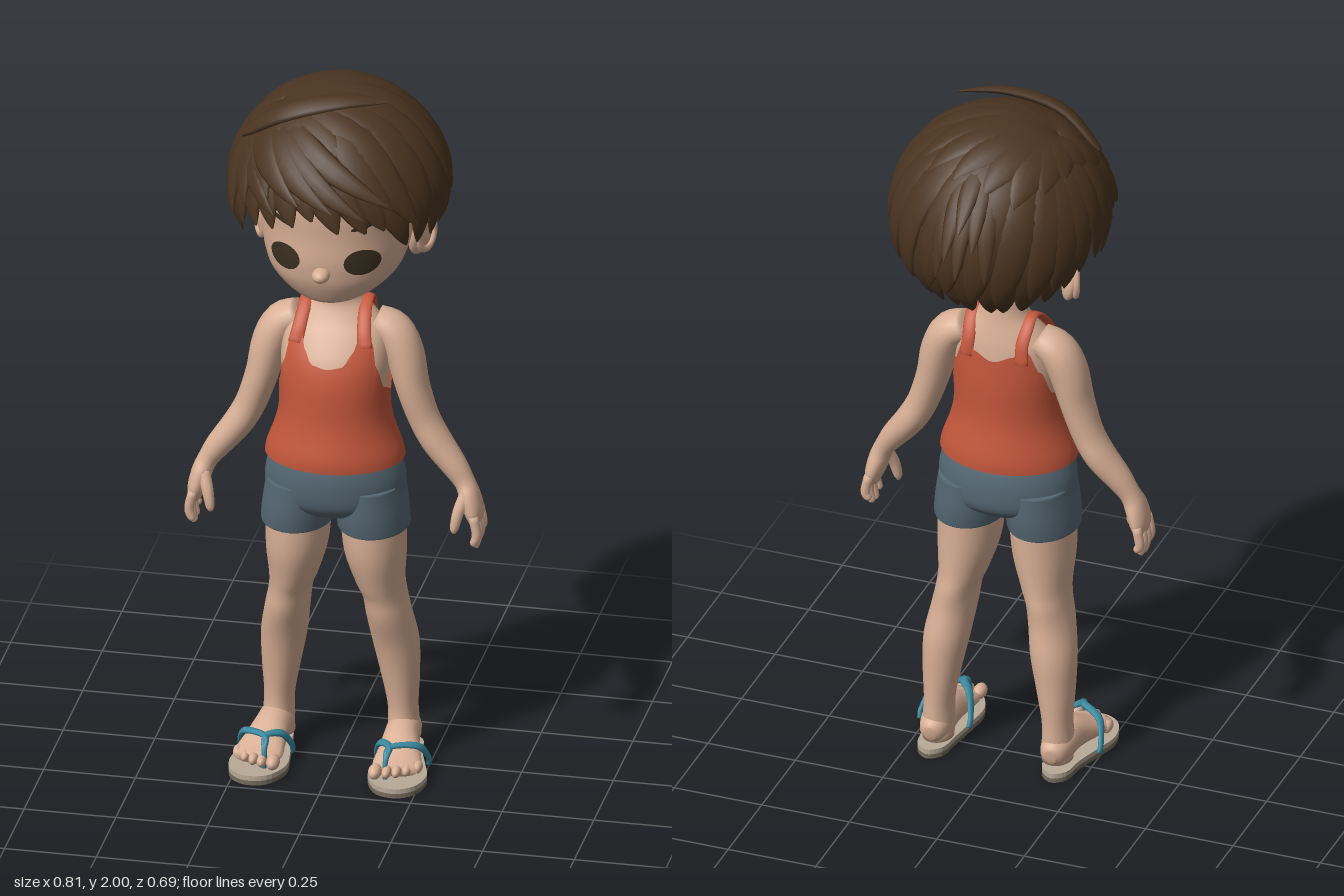
import * as THREE from 'three';
import { mergeGeometries } from 'three/addons/utils/BufferGeometryUtils.js';

const V = (x, y, z) => new THREE.Vector3(x, y, z);
const mat = (name, color, side = THREE.FrontSide) => {
  const m = new THREE.MeshStandardMaterial({ color, side });
  m.name = name;
  return m;
};

// Skin a list of elliptical rings {c, u, v}, where u x v points along the loft
function loft(rings, n = 24) {
  const pos = [], idx = [];
  for (const { c, u, v } of rings)
    for (let j = 0; j < n; j++) {
      const a = (j / n) * Math.PI * 2;
      pos.push(...c.clone().addScaledVector(u, Math.cos(a)).addScaledVector(v, Math.sin(a)).toArray());
    }
  const last = rings.length - 1, s = pos.length / 3;
  pos.push(...rings[0].c.toArray(), ...rings[last].c.toArray());
  for (let j = 0; j < n; j++) {
    const k = (j + 1) % n;
    for (let i = 0; i < last; i++) {
      const a = i * n + j, b = i * n + k;
      idx.push(a, b, b + n, a, b + n, a + n);
    }
    idx.push(s, k, j, s + 1, last * n + j, last * n + k);
  }
  return build(pos, idx);
}

function build(pos, idx) {
  const g = new THREE.BufferGeometry();
  g.setAttribute('position', new THREE.Float32BufferAttribute(pos, 3));
  g.setIndex(idx);
  g.computeVertexNormals();
  return g;
}

// Resample rows [x, y, z, r1, r2] along a smooth spline
function dense(rows, steps = 40) {
  const p = new THREE.CatmullRomCurve3(rows.map(r => V(r[0], r[1], r[2])), false, 'catmullrom');
  const q = new THREE.CatmullRomCurve3(rows.map(r => V(r[3], r[4], 0)), false, 'catmullrom');
  return Array.from({ length: steps + 1 }, (_, i) => {
    const t = i / steps, r = q.getPoint(t);
    return { c: p.getPoint(t), d: p.getTangent(t), r1: Math.max(r.x, 0.001), r2: Math.max(r.y, 0.001) };
  });
}

// Horizontal rings, listed from bottom to top: r1 is along x, r2 along z
const stack = (rows, n = 32) => loft(dense(rows).map(({ c, r1, r2 }) => ({ c, u: V(0, 0, r2), v: V(r1, 0, 0) })), n);

// Rings square to the path: r1 is along ref, r2 across it
const sweep = (rows, ref, n = 14, steps = 24) => loft(dense(rows, steps).map(({ c, d, r1, r2 }) => {
  const u = ref.clone().addScaledVector(d, -ref.dot(d)).normalize();
  return { c, u: u.clone().multiplyScalar(r1), v: d.clone().cross(u).multiplyScalar(r2) };
}), n);

// Look up a value between [key, value] pairs with eased steps
function ease(table, k) {
  let i = 0;
  while (i < table.length - 2 && k > table[i + 1][0]) i++;
  const [a, b] = [table[i], table[i + 1]];
  return a[1] + (b[1] - a[1]) * THREE.MathUtils.smoothstep(k, a[0], b[0]);
}

// Ring of a resampled stack at height y
function ringAt(rows, y) {
  let i = 0;
  while (i < rows.length - 2 && y > rows[i + 1].c.y) i++;
  const a = rows[i], b = rows[i + 1], t = (y - a.c.y) / (b.c.y - a.c.y), mix = THREE.MathUtils.lerp;
  return { z: mix(a.c.z, b.c.z, t), rx: mix(a.r1, b.r1, t), rz: mix(a.r2, b.r2, t) };
}

// Closed grid: point(angle in degrees, t) with t from bottom to top
function shell(point, n = 96, m = 20) {
  const pos = [], idx = [];
  for (let i = 0; i <= m; i++)
    for (let j = 0; j < n; j++) {
      pos.push(...point((j / n) * 360, i / m).toArray());
      const a = i * n + j, b = i * n + (j + 1) % n;
      if (i < m) idx.push(a, b, b + n, a, b + n, a + n);
    }
  return build(pos, idx);
}

const TORSO = [[0, .84, .035, .16, .1], [0, .92, .04, .165, .13], [0, 1, .04, .15, .13], [0, 1.08, .04, .142, .125],
  [0, 1.16, .037, .145, .122], [0, 1.22, .03, .147, .112], [0, 1.28, .015, .14, .092], [0, 1.32, .005, .11, .075],
  [0, 1.36, 0, .075, .062], [0, 1.4, .003, .063, .06], [0, 1.47, .005, .063, .06]];
const HEAD = [[0, 1.405, .12, .02, .02], [0, 1.417, .1, .075, .068], [0, 1.44, .07, .125, .115], [0, 1.48, .04, .17, .165],
  [0, 1.52, .02, .19, .195], [0, 1.56, .005, .2, .215], [0, 1.62, -.01, .21, .23], [0, 1.7, -.01, .222, .235],
  [0, 1.78, -.01, .215, .225], [0, 1.86, -.015, .165, .175], [0, 1.9, -.02, .095, .1], [0, 1.915, -.02, .01, .01]];
// Upper edge of the vest and lower edge of the hair, by angle from the front
const VEST_TOP = [[0, 1.21], [15, 1.217], [27, 1.255], [33, 1.3], [44, 1.3], [55, 1.2], [70, 1.14], [90, 1.12],
  [110, 1.14], [130, 1.22], [143, 1.29], [150, 1.29], [158, 1.27], [180, 1.25]];
const HAIR_EDGE = [[0, 2], [35, -3], [58, -19], [80, -15], [108, -14], [125, -34], [145, -40], [180, -42]];

export function createModel() {
  const root = new THREE.Group();
  root.name = 'child';
  const skin = mat('skin', 0xd9b096), vest = mat('vest red', 0xc4573c, THREE.DoubleSide), denim = mat('shorts blue', 0x566874),
    hair = mat('hair brown', 0x4a3420, THREE.DoubleSide), dark = mat('eye dark', 0x3b3021),
    teal = mat('strap teal', 0x3b8aa0), bed = mat('footbed tan', 0xb8aa98), tread = mat('tread grey', 0x756b5c);
  const add = (name, geo, material, parent = root) => {
    const m = new THREE.Mesh(geo, material);
    m.name = name;
    parent.add(m);
    return m;
  };
  const ball = (name, material, p, r, rot = [0, 0, 0]) => {
    const m = add(name, new THREE.SphereGeometry(1, 20, 14), material);
    m.position.set(...p);
    m.scale.set(...r);
    m.rotation.set(...rot);
  };

  // Torso, head and nose
  add('torso', stack(TORSO), skin);
  add('head', stack(HEAD, 48), skin);
  ball('nose', skin, [0, 1.522, .222], [.024, .02, .032]);

  // Vest body
  const torso = dense(TORSO);
  add('vest', shell((deg, t) => {
    const y = .92 + (ease(VEST_TOP, deg > 180 ? 360 - deg : deg) - .92) * t;
    const r = ringAt(torso, y), o = .008 + .016 * (1 - THREE.MathUtils.smoothstep(y, .92, 1.06));
    const a = THREE.MathUtils.degToRad(deg);
    return V((r.rx + o) * Math.sin(a), y, r.z + (r.rz + o) * Math.cos(a));
  }), vest);

  // Shorts seat
  add('shortsSeat', stack([[0, .745, .03, .06, .06], [0, .765, .03, .14, .105], [0, .8, .03, .185, .138],
    [0, .86, .033, .19, .147], [0, .91, .036, .178, .142], [0, .935, .037, .165, .13]]), denim);

  // Thin patch that follows the face
  const head = dense(HEAD);
  const facePatch = (name, x, y, rx, ry, tilt) => {
    const g = new THREE.RingGeometry(.001, 1, 28, 5).scale(rx, ry, 1).rotateZ(tilt).translate(x, y, 0);
    const p = g.attributes.position;
    for (let i = 0; i < p.count; i++) {
      const r = ringAt(head, p.getY(i));
      p.setZ(i, r.z + r.rz * Math.sqrt(1 - (p.getX(i) / r.rx) ** 2) + .004);
    }
    g.computeVertexNormals();
    add(name, g, dark);
  };

  for (const s of [1, -1]) {
    const side = s > 0 ? 'left' : 'right';
    const mx = rows => rows.map(([x, ...rest]) => [x * s, ...rest]);

    // Face
    facePatch(side + 'Eye', s * .105, 1.555, .045, .038, 0);
    facePatch(side + 'Brow', s * .115, 1.665, .038, .008, s * .3);
    ball(side + 'Ear', skin, [s * .212, 1.537, -.055], [.022, .064, .042], [.1, -s * .5, -s * .15]);
    const rim = add(side + 'EarRim', new THREE.TorusGeometry(.034, .009, 8, 24), skin);
    rim.position.set(s * .226, 1.542, -.06);
    rim.rotation.set(0, s * 1.07, 0);
    rim.scale.y = 1.4;

    // Vest strap over the shoulder
    add(side + 'VestStrap', sweep(mx([[.095, 1.26, .105, .02, .007], [.088, 1.3, .085, .019, .007],
      [.082, 1.345, .042, .018, .007], [.08, 1.365, -.005, .018, .007], [.08, 1.342, -.04, .018, .007],
      [.076, 1.3, -.066, .018, .007], [.08, 1.25, -.076, .018, .007]]), V(1, 0, 0)), vest);

    // Arm with palm, fingers and thumb
    add(side + 'Arm', sweep(mx([[.1, 1.3, 0, .05, .04], [.152, 1.272, 0, .06, .05], [.183, 1.21, .005, .062, .051],
      [.205, 1.12, .01, .058, .045], [.235, 1.03, .01, .05, .042], [.27, .965, .012, .05, .041], [.32, .9, .02, .04, .035],
      [.35, .855, .025, .033, .028], [.365, .82, .03, .044, .028], [.378, .775, .03, .05, .025],
      [.382, .745, .03, .038, .016]]), V(0, 0, 1), 20, 40), skin);
    [.075, .09, .085, .065].forEach((len, i) => {
      const z = .07 - i * .027;
      add(side + 'Finger' + (i + 1), sweep(mx([[.382, .775, z, .013, .013], [.392, .725, z, .013, .013],
        [.384, .772 - len, z, .011, .011], [.381, .764 - len, z, .004, .004]]), V(0, 0, 1), 10, 10), skin);
    });
    add(side + 'Thumb', sweep(mx([[.358, .83, .05, .018, .018], [.342, .785, .07, .016, .016],
      [.333, .74, .078, .012, .012], [.332, .725, .078, .004, .004]]), V(0, 0, 1), 10, 10), skin);

    // Leg and shorts leg
    add(side + 'Leg', stack(mx([[.17, .04, -.045, .042, .05], [.17, .1, -.04, .042, .055], [.168, .16, -.04, .041, .054],
      [.162, .25, -.035, .052, .062], [.152, .35, -.025, .062, .075], [.138, .44, -.003, .06, .086],
      [.128, .5, .003, .058, .092], [.117, .55, .013, .066, .098], [.106, .65, .025, .084, .111],
      [.1, .8, .025, .088, .115]])), skin);
    add(side + 'ShortsLeg', stack(mx([[.104, .715, .03, .094, .118], [.104, .722, .03, .097, .121],
      [.1, .77, .03, .097, .128], [.095, .85, .03, .09, .13]])), denim);

    // Foot and toes
    add(side + 'Foot', sweep(mx([[.172, .07, -.106, .02, .015], [.172, .073, -.09, .036, .034], [.173, .08, -.04, .05, .046],
      [.176, .08, .02, .05, .048], [.183, .066, .08, .036, .058], [.188, .054, .13, .024, .066],
      [.189, .05, .165, .017, .06]]), V(0, 1, 0), 18), skin);
    for (let i = 0; i < 5; i++)
      ball(side + 'Toe' + (i + 1), skin, [s * (.139 + i * .025 + (i ? .006 : 0)), .052, .184 - i * i * .0032],
        i ? [.013, .016, .026] : [.018, .02, .03]);

    // Sandal: tread, footbed and forked strap
    const outline = new THREE.Shape(new THREE.CatmullRomCurve3([[.178, -.115], [.212, -.09], [.225, -.02], [.25, .06],
      [.268, .13], [.25, .2], [.205, .23], [.15, .217], [.112, .15], [.118, .06], [.13, -.02], [.143, -.09]]
      .map(([x, z]) => V(s * x, -z, 0)), true).getPoints(48).slice(0, -1).map(p => new THREE.Vector2(p.x, p.y)));
    const slab = (y, depth) => new THREE.ExtrudeGeometry(outline, { depth, bevelEnabled: false }).rotateX(-Math.PI / 2).translate(0, y, 0);
    add(side + 'SandalTread', slab(0, .013), tread);
    add(side + 'SandalFootbed', slab(.013, .014), bed);
    for (const [end, x, bulge] of [['Outer', .256, .235], ['Inner', .116, .135]])
      add(side + 'SandalStrap' + end, sweep(mx([[.165, .03, .178, .007, .007], [.165, .078, .172, .008, .007],
        [.17, .106, .14, .011, .007], [bulge, .096, .095, .013, .007], [x, .05, .055, .011, .007],
        [x, .022, .04, .01, .007]]), V(0, 0, 1), 10), teal);
  }

  // Hair: directions on a rounded volume, measured from the front
  const C = V(0, 1.68, -.02), R = V(.288, .28, .288);
  const dir = (deg, el) => {
    const a = THREE.MathUtils.degToRad(deg), e = THREE.MathUtils.degToRad(el);
    return V(Math.sin(a) * Math.cos(e), Math.sin(e), Math.cos(a) * Math.cos(e));
  };
  const edge = deg => { const a = ((deg % 360) + 360) % 360; return ease(HAIR_EDGE, a > 180 ? 360 - a : a); };
  const onHair = (d, k) => d.clone().multiply(R).multiplyScalar(k).add(C);
  let seed = 7;
  const rnd = () => (seed = (seed * 16807) % 2147483647) / 2147483647 - .5;

  // Leaf-shaped lock along a path
  const lock = (path, w, thick) => loft(Array.from({ length: 15 }, (_, i) => {
    const t = i / 14, c = path(t);
    const d = path(Math.min(1, t + .02)).sub(path(Math.max(0, t - .02))).normalize();
    const n = c.clone().sub(C);
    n.addScaledVector(d, -n.dot(d)).normalize();
    const f = Math.max(.02, Math.sin(Math.PI * Math.min(1, .06 + .94 * t) ** .8)) ** .7;
    return { c, u: n.clone().cross(d).multiplyScalar(w * f), v: n.multiplyScalar(thick * f) };
  }), 10);
  const combed = (from, deg, el, swirl, k, lift, w, thick = .018) => lock(t =>
    onHair(from.clone().lerp(dir(deg - swirl * (1 - t), el), t).normalize(), k + lift * t * t), w, thick);

  add('hairCap', shell((deg, t) => {
    const low = edge(deg) + (Math.cos(deg * Math.PI / 180) > .3 ? 13 : 7);
    return onHair(dir(deg, low + (89.9 - low) * t), .93);
  }, 64, 14), hair);

  const crown = V(-.5, .85, .12).normalize();
  const layers = { hairLower: [], hairMiddle: [], hairTop: [], hairLoose: [] };
  for (let i = 0; i < 30; i++) {
    const a = i * 12 + rnd() * 5, front = Math.cos(a * Math.PI / 180) > .6;
    layers.hairLower.push(combed(dir(a - (front ? 30 : 0), 48), a, edge(a) + rnd() * 7, 0, .97, front ? .08 : .03, .052));
  }
  for (let i = 0; i < 24; i++) {
    const a = i * 15 + 6 + rnd() * 6, front = Math.cos(a * Math.PI / 180) > .5;
    layers.hairMiddle.push(combed(crown.clone().lerp(dir(a, 50), .5).normalize(), a, edge(a) + 15 + rnd() * 9,
      front ? 25 : 8, 1, front ? .1 : .04, .055));
  }
  for (let i = 0; i < 17; i++) {
    const a = i * 21 + rnd() * 8;
    layers.hairTop.push(combed(crown, a, 36 + rnd() * 16, 15, 1.01, .05, .055));
  }
  // Loose locks: swept fringe in front, long wisps at the back, one arc on top
  for (const [a, el, lift] of [[8, 12, .22], [22, 9, .24], [34, 14, .22], [-8, 14, .2], [-22, 6, .12]])
    layers.hairLoose.push(combed(crown, a, el, 45, 1, lift, .045, .014));
  for (const [a, el, lift] of [[180, -4, .22], [174, 4, .2], [187, 10, .17], [180, 18, .2], [168, -8, .14], [193, -6, .16]])
    layers.hairLoose.push(combed(dir(a, 68), a, el, 0, .99, lift, .032, .012));
  const arc = new THREE.CatmullRomCurve3([V(-.24, 1.86, .09), V(-.12, 1.945, .12), V(.03, 1.982, .1), V(.16, 1.975, .06)]);
  layers.hairLoose.push(lock(t => arc.getPoint(t), .034, .015));
  for (const [name, list] of Object.entries(layers)) add(name, mergeGeometries(list), hair);

  return root;
}
